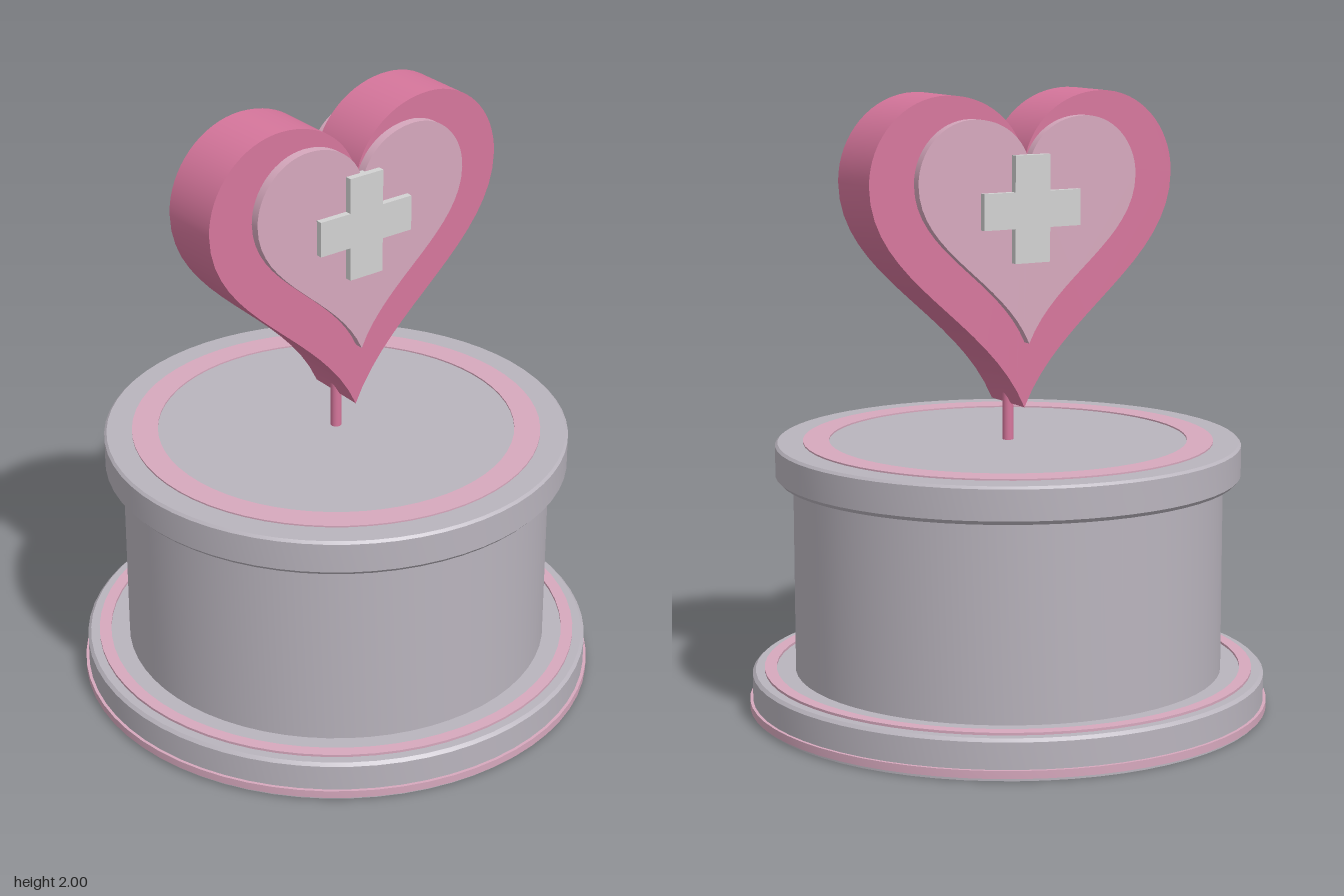
import * as THREE from 'three';
import { toCreasedNormals } from 'three/addons/utils/BufferGeometryUtils.js';

const material = (name, color) => {
  const m = new THREE.MeshStandardMaterial({ color });
  m.name = name;
  return m;
};

// Right half is drawn from the notch to the tip, then mirrored.
function heartShape(notch, lobeX, radius, midY, tip) {
  const wide = lobeX + radius, top = midY + radius, k = radius * 0.55;
  const low = midY - (midY - tip) * 0.41, pinch = tip + (midY - tip) * 0.41;
  const s = new THREE.Shape();
  s.moveTo(0, notch);
  s.bezierCurveTo(lobeX * 0.08, notch + (top - notch) * 0.55, lobeX - k, top, lobeX, top);
  s.bezierCurveTo(lobeX + k, top, wide, midY + k, wide, midY);
  s.bezierCurveTo(wide, low, wide * 0.24, pinch, 0, tip);
  s.bezierCurveTo(-wide * 0.24, pinch, -wide, low, -wide, midY);
  s.bezierCurveTo(-wide, midY + k, -lobeX - k, top, -lobeX, top);
  s.bezierCurveTo(-lobeX + k, top, -lobeX * 0.08, notch + (top - notch) * 0.55, 0, notch);
  return s;
}

export function createModel() {
  const group = new THREE.Group();
  const grey = material('warm grey', 0xb9b4bd);
  const lightPink = material('pale pink', 0xd6a8bd);
  const pink = material('rose pink', 0xd6769c);
  const white = material('light grey', 0xd2d2d2);

  const add = (name, geometry, mat) => {
    const mesh = new THREE.Mesh(geometry, mat);
    mesh.name = name;
    group.add(mesh);
    return mesh;
  };
  const lathe = (name, points, mat) => add(name, toCreasedNormals(
    new THREE.LatheGeometry(points.map(p => new THREE.Vector2(...p)), 64), 0.5), mat);
  // Closed ring with a rectangular section
  const ring = (name, r0, r1, y0, y1, mat) =>
    lathe(name, [[r0, y0], [r1, y0], [r1, y1], [r0, y1], [r0, y0]], mat);
  const slab = (name, shape, halfDepth, mat) => {
    const g = new THREE.ExtrudeGeometry(shape,
      { depth: halfDepth * 2, bevelEnabled: false, curveSegments: 16 });
    g.translate(0, 0, -halfDepth);
    return add(name, toCreasedNormals(g, 0.6), mat);
  };

  // Drum pedestal: foot, wall and overhanging cap
  lathe('pedestal', [
    [0, 0], [0.835, 0], [0.835, 0.12], [0.825, 0.13], [0.695, 0.13],
    [0.695, 0.762], [0.74, 0.762], [0.752, 0.775], [0.752, 0.872], [0.744, 0.88], [0, 0.88],
  ], grey);
  ring('footTrim', 0.82, 0.845, 0.01, 0.035, lightPink);
  ring('footRing', 0.757, 0.796, 0.12, 0.138, lightPink);
  ring('capRing', 0.578, 0.662, 0.87, 0.885, lightPink);

  // Stem holding the heart
  const stem = add('stem', new THREE.CylinderGeometry(0.018, 0.018, 0.19, 12), pink);
  stem.position.y = 0.965;

  // Heart with raised panels on both faces
  slab('heart', heartShape(1.79, 0.28, 0.27, 1.73, 1.0), 0.105, pink);
  slab('heartPanel', heartShape(1.78, 0.2, 0.195, 1.73, 1.21), 0.135, lightPink);

  // Plus sign showing on both faces
  const [w, a, y0, y1, y2, y3] = [0.175, 0.063, 1.47, 1.58, 1.695, 1.81];
  const plus = new THREE.Shape([
    [-a, y0], [a, y0], [a, y1], [w, y1], [w, y2], [a, y2],
    [a, y3], [-a, y3], [-a, y2], [-w, y2], [-w, y1], [-a, y1],
  ].map(p => new THREE.Vector2(...p)));
  for (const side of [1, -1]) {
    const g = new THREE.ExtrudeGeometry(plus, { depth: 0.035, bevelEnabled: false });
    g.translate(0, 0, 0.122);
    if (side < 0) g.rotateY(Math.PI);
    add(side > 0 ? 'frontPlus' : 'backPlus', g, white);
  }
  return group;
}
